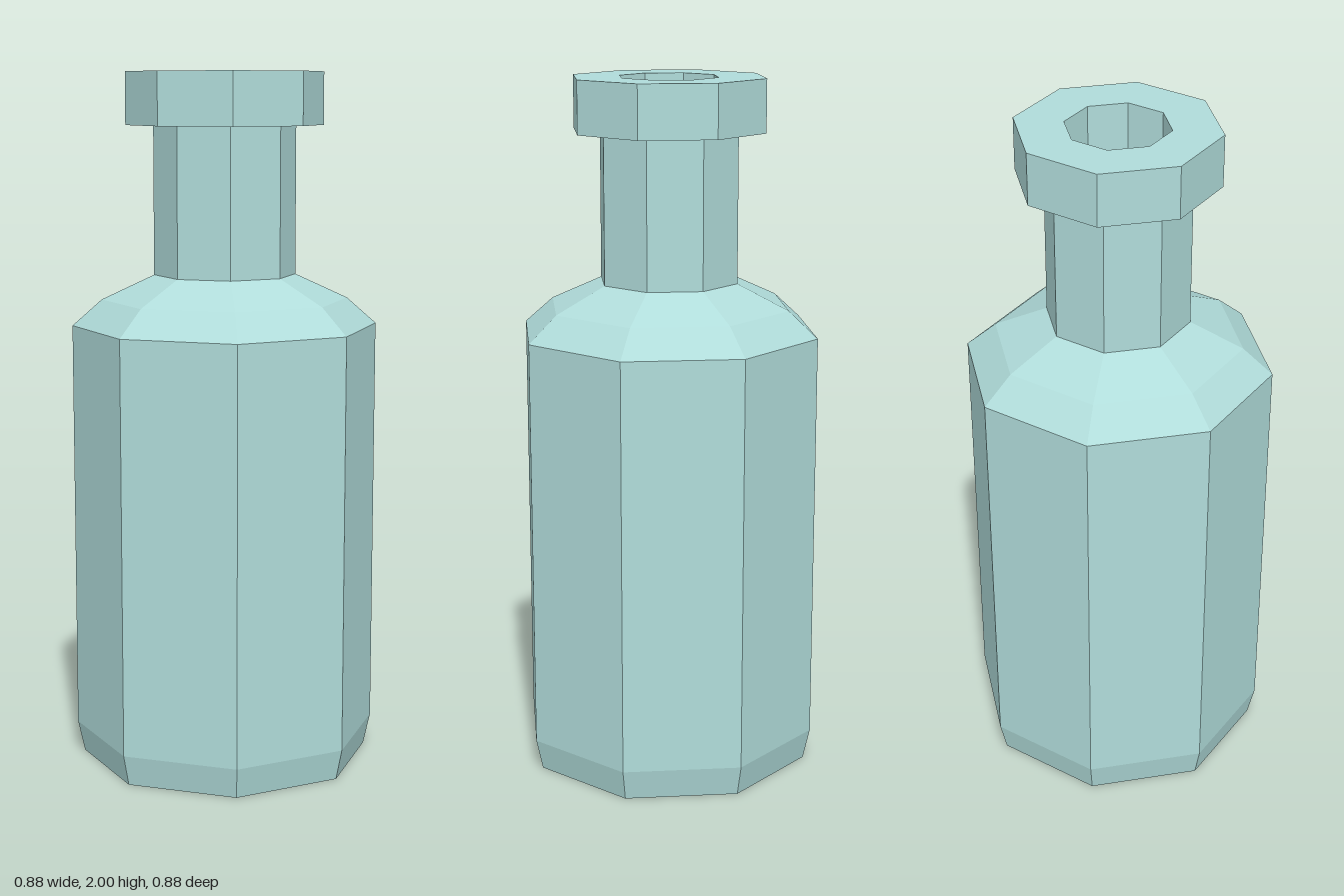
import * as THREE from 'three';

const SIDES = 8;

// Spin a [radius, height] profile into an eight-sided, hard-edged solid
function turned(name, profile, material) {
  const points = profile.map(([r, y]) => new THREE.Vector2(r, y));
  const geometry = new THREE.LatheGeometry(points, SIDES).toNonIndexed();
  geometry.computeVertexNormals();
  const mesh = new THREE.Mesh(geometry, material);
  mesh.name = name;
  return mesh;
}

export function createModel() {
  const glass = new THREE.MeshStandardMaterial({ color: 0xb0dcda });
  glass.name = 'paleTealGlass';
  const green = new THREE.MeshStandardMaterial({ color: 0x32de32 });
  green.name = 'greenLiquid';

  const bottle = new THREE.Group();
  bottle.name = 'bottle';

  // Body with bevelled foot and two-step shoulder
  bottle.add(turned('body', [
    [0, 0], [0.42, 0], [0.44, 0.09], [0.44, 1.28], [0.355, 1.355], [0.204, 1.425],
  ], glass));

  // Neck, overhanging lip and bore
  bottle.add(turned('neckAndLip', [
    [0.204, 1.425], [0.204, 1.85], [0.283, 1.85], [0.283, 2], [0.145, 2], [0.145, 1.4],
  ], glass));

  // Inner wall of the hollow body, facing inwards
  bottle.add(turned('innerWall', [
    [0.145, 1.4], [0.31, 1.32], [0.38, 1.25], [0.38, 0.08], [0, 0.08],
  ], glass));

  // Liquid inside, seen through the mouth
  bottle.add(turned('liquid', [
    [0, 0.09], [0.375, 0.09], [0.375, 1.1], [0, 1.1],
  ], green));

  return bottle;
}
